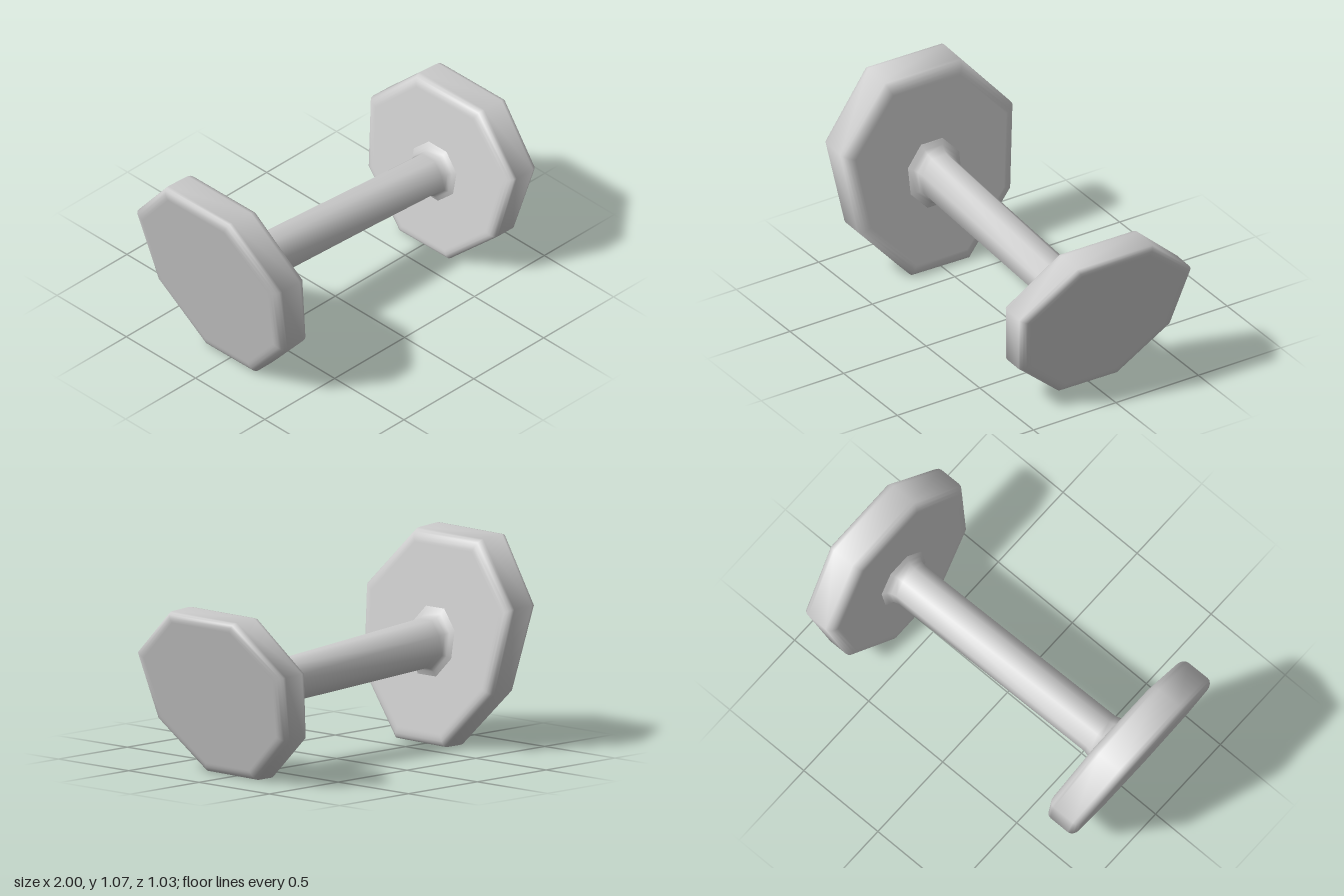
import * as THREE from 'three';

const material = new THREE.MeshStandardMaterial({ color: 0xcccccc });

// Skin a list of rings (equal point counts, ordered along +x) with smooth normals
function loft(name, rings) {
  const n = rings[0].length, index = [];
  for (let i = 0; i < rings.length - 1; i++) {
    for (let j = 0; j < n; j++) {
      const a = i * n + j, b = i * n + (j + 1) % n;
      index.push(a, b, b + n, a, b + n, a + n);
    }
  }
  const geometry = new THREE.BufferGeometry();
  geometry.setAttribute('position', new THREE.Float32BufferAttribute(rings.flat(2), 3));
  geometry.setIndex(index);
  geometry.computeVertexNormals();
  const mesh = new THREE.Mesh(geometry, material);
  mesh.name = name;
  return mesh;
}

// Straight line x(y) through two points
const line = (x0, y0, x1, y1) => y => x0 + (x1 - x0) * (y - y0) / (y1 - y0);

// Leaning faces of the two weights, as x for a given height
const rightInner = line(0.615, 0.04, 0.79, 0.82);
const rightOuter = line(0.78, 0.04, 0.995, 0.81);
const leftInner = line(-0.6, 0.04, -0.77, 1.02);
const leftOuter = line(-0.78, 0.04, -1.0, 1.04);

// Skewed octagon outline of a weight: [z, y]
const OUTLINE = [
  [-0.235, 0.855], [0.225, 0.86], [0.52, 0.61], [0.465, 0.26],
  [0.185, 0.01], [-0.165, 0.005], [-0.45, 0.245], [-0.515, 0.595],
];

// Rounded-edge steps: [outline scale, position through the thickness]
const edge = [[0, 0], [0.88, 0]];
for (let k = 0; k <= 4; k++) {
  const a = k / 4 * Math.PI / 2;
  edge.push([0.905 + 0.095 * Math.sin(a), 0.2 * (1 - Math.cos(a))]);
}
const PROFILE = [...edge, ...edge.map(([s, u]) => [s, 1 - u]).reverse()];

// Octagonal weight between two leaning faces
function weight(name, lowFace, highFace, stretch) {
  const cy = 0.4325;
  return loft(name, PROFILE.map(([s, u]) => OUTLINE.map(([z, y]) => {
    const h = (cy + (y - cy) * s) * stretch;
    const x = THREE.MathUtils.lerp(lowFace(h), highFace(h), u);
    const tilt = -0.07 * (u - 0.5) * 0.2 * h;
    return [x, h + tilt, z * s];
  })));
}

// Tapered octagonal grip, flared where it meets each weight
function handle() {
  const flare = [[-0.01, 1.5], [0.003, 1.38], [0.012, 1.2], [0.03, 1.07], [0.06, 1]];
  const ring = (face, offset, scale) => Array.from({ length: 8 }, (_, j) => {
    const a = (j - 0.5) * Math.PI / 4, r = scale / Math.cos(Math.PI / 8);
    const xc = face(0.48) + offset;
    const y = 0.48 - 0.069 * xc + (0.11 - 0.0165 * xc) * r * Math.cos(a);
    return [face(y) + offset, y, 0.11 * r * Math.sin(a)];
  });
  return loft('handle', [
    ...flare.map(([d, s]) => ring(leftInner, d, s)),
    ...flare.map(([d, s]) => ring(rightInner, -d, s)).reverse(),
  ]);
}

export function createModel() {
  const group = new THREE.Group();
  group.name = 'dumbbell';
  group.add(
    weight('largeWeight', leftOuter, leftInner, 1.25),
    weight('smallWeight', rightInner, rightOuter, 1),
    handle(),
  );
  return group;
}
